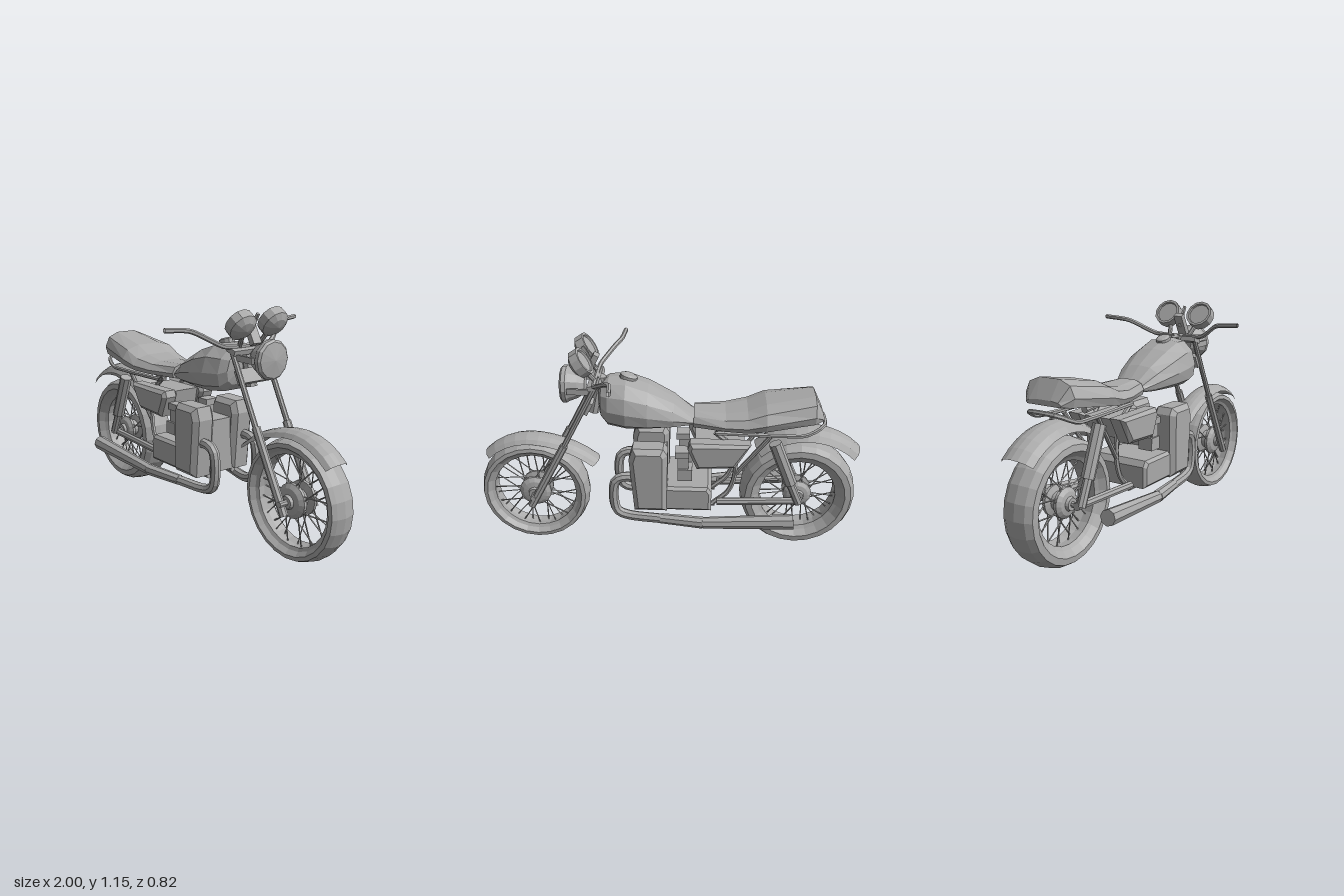
import * as THREE from 'three';

export function createModel() {
  const grey = new THREE.MeshStandardMaterial({ color: 0xaaaaaa, flatShading: true, side: THREE.DoubleSide });
  grey.name = 'grey';
  const root = new THREE.Group();
  root.name = 'motorcycle';
  const V = (x, y, z) => new THREE.Vector3(x, y, z);
  const UP = V(0, 1, 0);

  const add = (name, geo, parent = root) => {
    const m = new THREE.Mesh(geo, grey);
    m.name = name;
    parent.add(m);
    return m;
  };
  // straight tube between two points
  const rod = (name, a, b, r0, r1 = r0, n = 8, parent = root) => {
    const p = V(...a), q = V(...b), d = q.clone().sub(p);
    const m = add(name, new THREE.CylinderGeometry(r1, r0, d.length(), n), parent);
    m.position.copy(p).add(q).multiplyScalar(0.5);
    m.quaternion.setFromUnitVectors(UP, d.normalize());
    return m;
  };
  // bent tube through points
  const pipe = (name, pts, r, n = 6, segs = 18) => add(name, new THREE.TubeGeometry(
    new THREE.CatmullRomCurve3(pts.map(p => V(...p)), false, 'centripetal'), segs, r, n));
  // turned part, profile [radius, height], axis along dir
  const turned = (name, prof, segs, pos, dir, parent = root) => {
    const m = add(name, new THREE.LatheGeometry(prof.map(p => new THREE.Vector2(...p)), segs), parent);
    m.position.set(...pos);
    m.quaternion.setFromUnitVectors(UP, V(...dir).normalize());
    return m;
  };
  // skin over rows of points, optionally closed round with end caps
  const skin = (rows, closed) => {
    const n = rows[0].length, pos = rows.flat().flat(), idx = [];
    for (let i = 0; i < rows.length - 1; i++)
      for (let j = 0; j < (closed ? n : n - 1); j++) {
        const a = i * n + j, b = i * n + (j + 1) % n;
        idx.push(a, b, a + n, b, b + n, a + n);
      }
    if (closed) for (let j = 1; j < n - 1; j++) {
      const k = (rows.length - 1) * n;
      idx.push(0, j + 1, j, k, k + j, k + j + 1);
    }
    const g = new THREE.BufferGeometry();
    g.setAttribute('position', new THREE.Float32BufferAttribute(pos, 3));
    g.setIndex(idx);
    g.computeVertexNormals();
    return g;
  };
  // body lofted along x: half outline [z, y] scaled by stations [x, bottom, top, halfWidth]
  const body = (name, half, stations) => {
    const ring = [...half, ...half.slice(1, -1).reverse().map(([z, y]) => [-z, y])];
    return add(name, skin(stations.map(([x, b, t, w]) => ring.map(([z, y]) => [x, b + y * (t - b), z * w])), true));
  };
  // bevelled slab: side outline extruded between z0 and z1
  const slab = (name, pts, z0, z1, bevel = 0.015) => {
    const g = new THREE.ExtrudeGeometry(new THREE.Shape(pts.map(p => new THREE.Vector2(...p))), {
      depth: z1 - z0 - 2 * bevel, bevelEnabled: true, bevelSize: bevel, bevelThickness: bevel, bevelOffset: -bevel, bevelSegments: 1,
    });
    g.translate(0, 0, z0 + bevel);
    return add(name, g);
  };
  const box = (name, size, pos, tilt = 0) => {
    const m = add(name, new THREE.BoxGeometry(...size));
    m.position.set(...pos);
    m.rotation.z = tilt;
    return m;
  };

  // Wheels: tyre, rim, hub and laced spokes
  const wheel = (name, x, y, R, w, ri, hub) => {
    const g = new THREE.Group();
    g.name = name;
    g.position.set(x, y, 0);
    root.add(g);
    const t = R - ri - 0.015;
    const o = [0, 0, 0], ax = [0, 0, 1], ti = R - t;
    turned('tyre', [[ti, -w * 0.65], [ti + t * 0.35, -w], [ti + t * 0.7, -w * 0.95], [R - 0.008, -w * 0.6], [R, 0],
      [R - 0.008, w * 0.6], [ti + t * 0.7, w * 0.95], [ti + t * 0.35, w], [ti, w * 0.65], [ti, -w * 0.65]], 24, o, ax, g);
    turned('rim', [[ri, -w * 0.55], [ri + 0.02, -w * 0.7], [ri + 0.02, w * 0.7], [ri, w * 0.55], [ri + 0.008, 0], [ri, -w * 0.55]], 24, o, ax, g);
    turned('hub', [[0, -0.075], [0.03, -0.075], [0.035, -0.06], [hub * 0.75, -0.055], [hub, -0.04], [hub, -0.025], [hub * 0.6, -0.015],
      [hub * 0.6, 0.015], [hub, 0.025], [hub, 0.04], [hub * 0.75, 0.055], [0.035, 0.06], [0.03, 0.075], [0, 0.075]], 16, o, ax, g);
    rod('axle', [0, 0, -0.12], [0, 0, 0.12], 0.014, 0.014, 8, g);
    for (let i = 0; i < 32; i++) {
      const a = i / 32 * Math.PI * 2, s = i % 2 ? 1 : -1, b = a + (i % 4 < 2 ? 0.35 : -0.35);
      rod('spoke', [Math.cos(b) * hub * 0.9, Math.sin(b) * hub * 0.9, s * 0.035],
        [Math.cos(a) * (ri + 0.01), Math.sin(a) * (ri + 0.01), s * 0.01], 0.0035, 0.0035, 4, g);
    }
  };
  wheel('rearWheel', -0.695, 0.325, 0.305, 0.088, 0.2, 0.075);
  wheel('frontWheel', 0.708, 0.297, 0.293, 0.072, 0.22, 0.085);

  // Mudguards: curved strip swept round the wheel centre, flaring at one end
  const mudguard = (name, cx, cy, a0, a1, radius, w, drop) => {
    const prof = [[-1, 1], [-0.75, 0.4], [-0.35, 0.08], [0, 0], [0.35, 0.08], [0.75, 0.4], [1, 1]], rows = [];
    for (let i = 0; i <= 10; i++) {
      const a = (a0 + (a1 - a0) * i / 10) * Math.PI / 180;
      rows.push(prof.map(([z, d]) => {
        const r = radius(i / 10) - d * drop;
        return [cx + Math.cos(a) * r, cy + Math.sin(a) * r, z * w];
      }));
    }
    add(name, skin(rows, false));
  };
  mudguard('frontMudguard', 0.708, 0.297, 151, 43, t => 0.333 + 0.07 * Math.max(0, 1 - t * 2) ** 2 + 0.01 * t * t, 0.068, 0.035);
  mudguard('rearMudguard', -0.695, 0.325, 138, 50, t => 0.41 - 0.04 * t, 0.09, 0.05);

  // Tank with filler cap, and stepped seat
  body('fuelTank', [[0, 0], [0.7, 0], [0.93, 0.12], [1, 0.4], [0.86, 0.72], [0.5, 0.94], [0, 1]], [
    [-0.14, 0.74, 0.78, 0.085], [-0.04, 0.735, 0.86, 0.13], [0.09, 0.735, 0.93, 0.162], [0.2, 0.735, 0.97, 0.166],
    [0.29, 0.745, 0.965, 0.14], [0.325, 0.78, 0.945, 0.11], [0.34, 0.83, 0.91, 0.06]]);
  turned('fuelCap', [[0.045, -0.02], [0.045, 0.01], [0.03, 0.017], [0, 0.017]], 12, [0.19, 0.965, 0], [-0.3, 1, 0]).scale.z = 0.8;
  body('seat', [[0, 0], [0.92, 0], [1, 0.35], [0.82, 0.8], [0.4, 1], [0, 1]], [
    [-0.785, 0.79, 0.815, 0.1], [-0.74, 0.785, 0.905, 0.14], [-0.5, 0.755, 0.862, 0.176],
    [-0.41, 0.74, 0.82, 0.165], [-0.3, 0.735, 0.8, 0.14], [-0.14, 0.735, 0.805, 0.095]]);

  // Headlight
  turned('headlight', [[0, -0.095], [0.045, -0.09], [0.07, -0.055], [0.088, -0.01], [0.096, 0], [0.096, 0.02], [0.085, 0.03], [0, 0.042]],
    12, [0.5, 0.92, 0], [1, 0, 0]);

  // Engine centre and sump
  slab('crankcase', [[-0.24, 0.28], [0.15, 0.28], [0.15, 0.42], [-0.22, 0.42], [-0.24, 0.39]], -0.17, 0.17);
  slab('engineCore', [[0, 0.3], [0.15, 0.3], [0.15, 0.56], [0, 0.56]], -0.1, 0.1);
  slab('airbox', [[-0.36, 0.56], [-0.17, 0.56], [-0.15, 0.66], [-0.4, 0.66]], -0.1, 0.1);

  // Steering head
  rod('steeringHead', [0.33, 0.97, 0], [0.375, 0.77, 0], 0.03);
  box('lowerYoke', [0.035, 0.07, 0.2], [0.395, 0.83, 0], 0.49);
  box('upperYoke', [0.06, 0.025, 0.23], [0.355, 0.95, 0], -0.3);
  box('gaugeBracket', [0.03, 0.12, 0.05], [0.375, 1.03, 0], 0.5);
  box('gaugeFin', [0.015, 0.12, 0.012], [0.385, 1.07, 0], -0.5);
  pipe('handlebar', [[0.24, 1.06, -0.41], [0.255, 1.05, -0.29], [0.27, 1.042, -0.265], [0.345, 0.975, -0.15], [0.35, 0.97, -0.12],
    [0.35, 0.97, 0.12], [0.345, 0.975, 0.15], [0.27, 1.042, 0.265], [0.255, 1.05, 0.29], [0.24, 1.06, 0.41]], 0.012, 6, 36);

  // Seat rail loop
  pipe('seatRail', [[-0.25, 0.71, 0.1], [-0.6, 0.708, 0.11], [-0.7, 0.715, 0.115], [-0.79, 0.755, 0.08], [-0.8, 0.76, 0],
    [-0.79, 0.755, -0.08], [-0.7, 0.715, -0.115], [-0.6, 0.708, -0.11], [-0.25, 0.71, -0.1]], 0.011, 6, 36);
  rod('spineTube', [-0.5, 0.715, 0], [0.32, 0.8, 0], 0.018);

  // Parts repeated on both sides
  for (const s of [1, -1]) {
    const side = (a, b) => s > 0 ? [a, b] : [-b, -a];
    // fork legs
    rod('forkTube', [0.34, 0.965, s * 0.1], [0.53, 0.6, s * 0.1], 0.014);
    rod('forkSlider', [0.522, 0.615, s * 0.098], [0.722, 0.24, s * 0.098], 0.021);
    box('headlightBracket', [0.12, 0.03, 0.012], [0.43, 0.92, s * 0.095]);
    // gauges facing the rider
    turned('gauge', [[0, -0.04], [0.045, -0.032], [0.073, -0.012], [0.073, 0.035], [0.06, 0.035], [0.057, 0.025], [0, 0.025]],
      12, [0.418, 1.072, s * 0.1], [-0.83, 0.56, 0]);
    rod('gaugeStalk', [0.355, 0.97, s * 0.06], [0.42, 1.06, s * 0.09], 0.012);
    // engine blocks
    slab('cylinderBlock', [[-0.01, 0.28], [0.16, 0.28], [0.185, 0.58], [0.165, 0.645], [0.01, 0.645], [-0.012, 0.61]], ...side(0.06, 0.192), 0.025);
    box('carburettor', [0.055, 0.11, 0.06], [-0.09, 0.52, s * 0.1]);
    box('carburettorTop', [0.07, 0.035, 0.075], [-0.085, 0.595, s * 0.1]);
    box('carburettorBowl', [0.075, 0.065, 0.08], [-0.1, 0.48, s * 0.1]);
    // side cover
    slab('sideCover', [[-0.43, 0.672], [-0.125, 0.675], [-0.113, 0.64], [-0.16, 0.53], [-0.355, 0.54]], ...side(0.075, 0.17), 0.018);
    // exhaust
    pipe('exhaustPipe', [[0.14, 0.46, s * 0.135], [0.22, 0.46, s * 0.135], [0.255, 0.44, s * 0.135], [0.268, 0.4, s * 0.135],
      [0.268, 0.3, s * 0.135], [0.25, 0.25, s * 0.135], [0.2, 0.228, s * 0.138], [0.02, 0.23, s * 0.17], [-0.21, 0.24, s * 0.215]], 0.026, 8, 30);
    rod('silencer', [-0.2, 0.24, s * 0.213], [-0.66, 0.285, s * 0.245], 0.03, 0.04);
    rod('silencerFront', [0.02, 0.231, s * 0.17], [-0.2, 0.24, s * 0.213], 0.027, 0.031);
    // rear suspension
    rod('shockBody', [-0.55, 0.675, s * 0.125], [-0.645, 0.44, s * 0.125], 0.033);
    rod('shockRod', [-0.63, 0.47, s * 0.125], [-0.695, 0.32, s * 0.125], 0.022);
    rod('swingArm', [-0.71, 0.325, s * 0.11], [-0.27, 0.3, s * 0.1], 0.02);
    // frame tubes
    pipe('frameTube', [[-0.25, 0.71, s * 0.09], [-0.34, 0.62, s * 0.085], [-0.36, 0.48, s * 0.08], [-0.33, 0.36, s * 0.08], [-0.25, 0.28, s * 0.08]], 0.013);
    rod('frameBrace', [-0.53, 0.7, s * 0.1], [-0.36, 0.46, s * 0.08], 0.012);
    rod('lowerRail', [-0.26, 0.275, s * 0.08], [0.15, 0.27, s * 0.08], 0.013);
  }
  return root;
}
